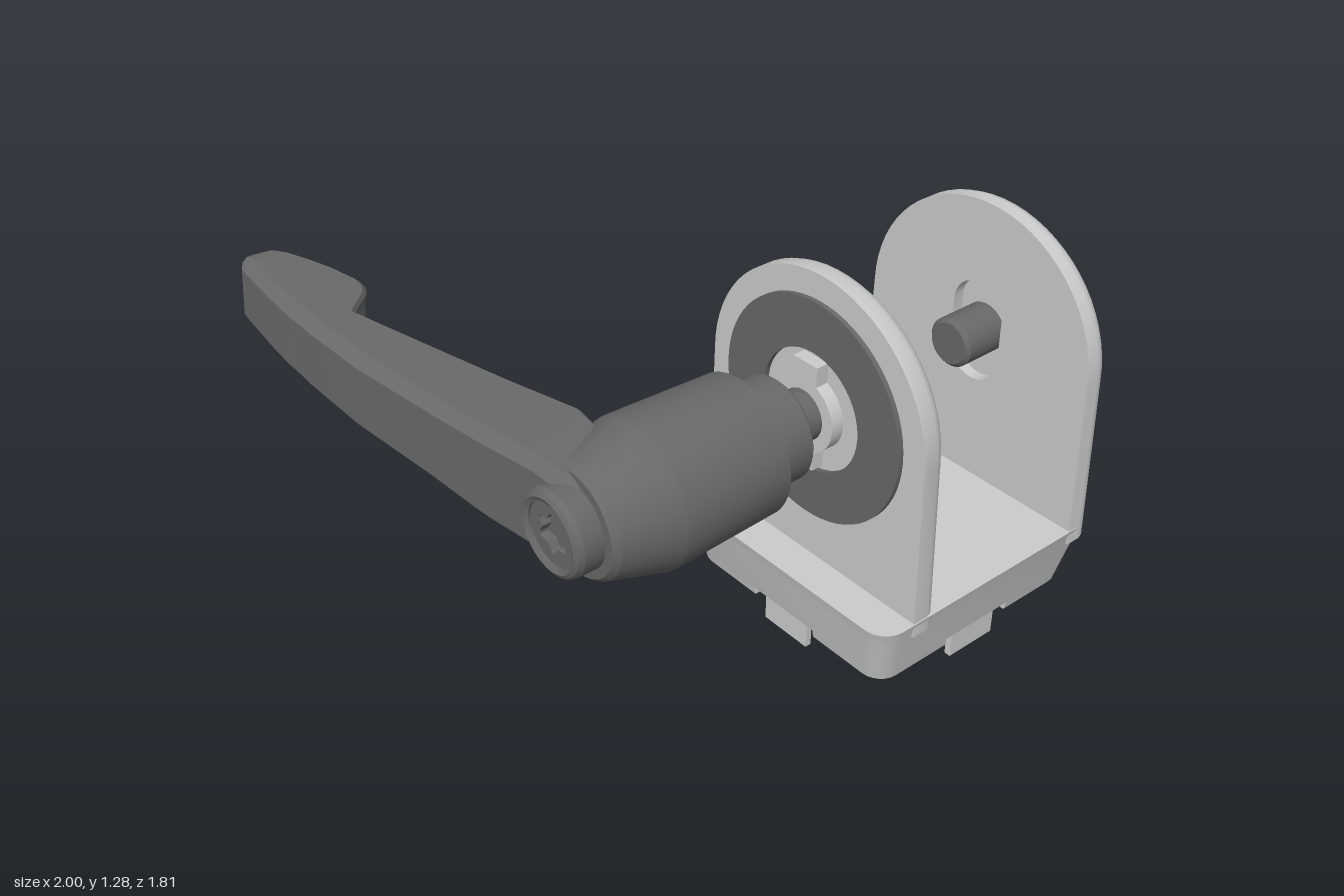
import * as THREE from 'three';
import { toCreasedNormals } from 'three/addons/utils/BufferGeometryUtils.js';

const AXIS_Y = 0.83, AXIS_Z = 0.435; // clamping axis, runs along x
const BASE_X = 0.4925, BASE_Z = 0.4325;
const light = new THREE.MeshStandardMaterial({ color: 0xcccccc });
const dark = new THREE.MeshStandardMaterial({ color: 0x686868 });
const v = (x, y, z) => new THREE.Vector3(x, y, z);

// Skin a stack of equal-length rings and close both ends
function loft(rings) {
  const pos = [], n = rings[0].length;
  const tri = (...pts) => pts.forEach(p => pos.push(p.x, p.y, p.z));
  for (let k = 0; k + 1 < rings.length; k++)
    for (let i = 0; i < n; i++) {
      const j = (i + 1) % n, a = rings[k], b = rings[k + 1];
      tri(a[i], a[j], b[j]);
      tri(a[i], b[j], b[i]);
    }
  [rings[0], rings[rings.length - 1]].forEach((r, end) => {
    const c = r.reduce((s, p) => s.add(p), v(0, 0, 0)).divideScalar(n);
    for (let i = 0; i < n; i++) {
      const j = (i + 1) % n;
      end ? tri(c, r[i], r[j]) : tri(c, r[j], r[i]);
    }
  });
  const g = new THREE.BufferGeometry();
  g.setAttribute('position', new THREE.Float32BufferAttribute(pos, 3));
  return g;
}

const circle = (r, seg = 48, lobes = 0) => Array.from({ length: seg }, (_, i) => {
  const a = i / seg * Math.PI * 2, q = r * (1 + (lobes ? 0.18 * Math.cos(lobes * a) : 0));
  return new THREE.Vector2(q * Math.cos(a), q * Math.sin(a));
});

// Extrude along x from x0 to x1; outline coordinates are (y, z)
function extrudeX(points, holes, x0, x1) {
  const s = new THREE.Shape(points);
  holes.forEach(h => s.holes.push(new THREE.Path(h)));
  const g = new THREE.ExtrudeGeometry(s, { depth: x1 - x0, bevelEnabled: false });
  return g.applyMatrix4(new THREE.Matrix4().makeBasis(v(0, 1, 0), v(0, 0, 1), v(1, 0, 0))).translate(x0, 0, 0);
}

// Turned part about the x axis, profile points are [radius, x]
const turnX = (profile, seg = 48) => new THREE.LatheGeometry(
  profile.map(p => new THREE.Vector2(...p)), seg).rotateZ(-Math.PI / 2);

// Cheek outline in (y, z): tapered sides with a round top
function cheekOutline(inset) {
  const pts = [new THREE.Vector2(0.25, AXIS_Z - 0.468 + inset)], R = 0.45 - inset;
  for (let i = 0; i <= 32; i++) {
    const a = -Math.PI / 2 + Math.PI * i / 32;
    pts.push(new THREE.Vector2(AXIS_Y + R * Math.cos(a), AXIS_Z + R * Math.sin(a)));
  }
  pts.push(new THREE.Vector2(0.25, AXIS_Z + 0.468 - inset));
  return pts;
}

// Cheek with its outer rim rounded on the +x side, slightly thicker at the foot
function cheekGeometry(x0, start) {
  const profile = [[start, 0], [0.05, 0], [0.07, 0.008], [0.085, 0.022], [0.095, 0.042], [0.1, 0.075]];
  return loft(profile.map(([d, inset]) => cheekOutline(inset).map(p =>
    v(x0 + d * (1 + 0.1 * (1.28 - p.x)), p.x, p.y))));
}

// Square base layer with rounded corners, optional side notches and a centre hole
function baseLayer(y0, y1, notched) {
  const h = 0.4725, r = 0.08, w = 0.15, d = 0.07, pts = [];
  for (let k = 0; k < 4; k++) {
    const side = [];
    if (notched) side.push([h, -w], [h - d, -w], [h - d, w], [h, w]);
    for (let i = 0; i <= 6; i++) {
      const a = i / 6 * Math.PI / 2;
      side.push([h - r + r * Math.cos(a), h - r + r * Math.sin(a)]);
    }
    side.forEach(p => pts.push(new THREE.Vector2(...p).rotateAround(new THREE.Vector2(), k * Math.PI / 2)));
  }
  const s = new THREE.Shape(pts);
  s.holes.push(new THREE.Path(circle(0.11)));
  const g = new THREE.ExtrudeGeometry(s, { depth: y1 - y0, bevelEnabled: false });
  g.applyMatrix4(new THREE.Matrix4().makeBasis(v(0, 0, 1), v(1, 0, 0), v(0, 1, 0))).translate(0, y0, 0);
  const p = g.attributes.position;
  for (let i = 0; i < p.count; i++) {
    const x = p.getX(i), y = p.getY(i), z = p.getZ(i);
    if (Math.hypot(x, z) < 0.2) continue;
    const k = y > 0.28 ? 1 : 0.9 + 0.085 * (y - 0.075) / 0.195;
    p.setXYZ(i, x * k, y, z * k);
  }
  return g.translate(BASE_X, 0, BASE_Z);
}

// Lever arm: C-shaped sections [z, xLeft, xRight, halfHeight, pocketDepth]
function armGeometry() {
  const stations = [
    [0.5, -0.74, -0.6, 0.13, 0], [0.32, -0.795, -0.56, 0.165, 0], [0.21, -0.83, -0.555, 0.162, 0.02],
    [0.14, -0.85, -0.583, 0.157, 0.1], [0, -0.883, -0.64, 0.147, 0.1], [-0.29, -0.955, -0.759, 0.137, 0.09],
    [-0.49, -0.985, -0.84, 0.13, 0.06], [-0.55, -0.99, -0.765, 0.128, 0.12], [-0.575, -0.993, -0.752, 0.127, 0.12],
    [-0.58, -0.994, -0.75, 0.127, 0], [-0.61, -0.997, -0.75, 0.126, 0], [-0.615, -0.997, -0.75, 0.126, 0.1],
    [-0.70, -1, -0.782, 0.124, 0.1], [-0.765, -1, -0.815, 0.122, 0.09], [-0.825, -1, -0.85, 0.12, 0.06],
    [-0.83, -1, -0.853, 0.12, 0], [-0.865, -0.998, -0.885, 0.117, 0], [-0.885, -0.985, -0.935, 0.105, 0]];
  return loft(stations.map(([z, l, r, h, d]) => {
    const c = Math.min(0.035, (r - l) * 0.3), e = c * 0.4, yc = AXIS_Y - 0.187 * (z - 0.43);
    return [[l + c, -h], [l, c - h], [l, h - c], [l + c, h], [r - e, h], [r, h - e], [r, h - 0.03],
      [r - d, h - 0.042], [r - d, 0.042 - h], [r, 0.03 - h], [r, e - h], [r - e, -h]]
      .map(([x, y]) => v(x, yc + y, z + 0.2 * y));
  }));
}

export function createModel() {
  const model = new THREE.Group();
  const add = (name, geo, mat, parent = model, crease = 0.5) => {
    const mesh = new THREE.Mesh(toCreasedNormals(geo, crease), mat);
    mesh.name = name;
    parent.add(mesh);
    return mesh;
  };
  const group = (name, onAxis) => {
    const g = new THREE.Group();
    g.name = name;
    if (onAxis) g.position.set(0, AXIS_Y, AXIS_Z);
    model.add(g);
    return g;
  };

  // Base with locating tabs
  const base = group('base');
  add('baseFoot', baseLayer(0.075, 0.105, true), light, base);
  add('baseBody', baseLayer(0.105, 0.27, false), light, base);
  add('baseRim', baseLayer(0.27, 0.3, false), light, base);
  for (let k = 0; k < 4; k++) {
    const tab = new THREE.BoxGeometry(0.022, 0.12, 0.19).translate(0.405, 0.06, 0)
      .rotateY(k * Math.PI / 2).translate(BASE_X, 0, BASE_Z);
    add('locatingTab', tab, light, base);
  }

  // Upright cheeks
  add('innerCheek', cheekGeometry(0.15, 0), light);
  const slot = circle(0.1).map(p => new THREE.Vector2(
    AXIS_Y + p.x + 0.075 * Math.sign(Math.round(p.x * 1e6)), AXIS_Z + p.y));
  add('outerCheek', cheekGeometry(0.855, 0.04), light);
  add('outerCheekSlotFace', extrudeX(cheekOutline(0), [slot], 0.855, 0.897), light);

  // Arched pad on the inner cheek
  const arch = [new THREE.Vector2(0.29, AXIS_Z - 0.17)];
  for (let i = 0; i <= 20; i++) {
    const a = -Math.PI / 2 + Math.PI * i / 20;
    arch.push(new THREE.Vector2(AXIS_Y + 0.17 * Math.cos(a), AXIS_Z + 0.17 * Math.sin(a)));
  }
  arch.push(new THREE.Vector2(0.29, AXIS_Z + 0.17));
  add('archPad', extrudeX(arch, [], 0.24, 0.266), light);

  // Fixed screw with domed cover on the outer cheek
  const screw = group('fixedScrew', true);
  add('coverRing', turnX([[0.266, 0.945], [0.266, 0.967], [0.235, 0.979], [0.19, 0.997], [0.175, 1],
    [0.172, 0.998], [0.172, 0.975], [0.14, 0.975]], 64), dark, screw, 0.35);
  add('socketHead', extrudeX(circle(0.157), [circle(0.06, 6)], 0.96, 0.992), dark, screw);
  add('socketFloor', turnX([[0, 0.95], [0.15, 0.95], [0.15, 0.966], [0, 0.966]]), dark, screw);
  add('fixedPin', turnX([[0, 0.73], [0.07, 0.73], [0.083, 0.743], [0.083, 0.95], [0, 0.95]]), dark, screw);

  // Friction washer, keyed nut and clamping pin
  const clamp = group('clampScrew', true);
  add('frictionWasher', extrudeX(circle(0.367, 64), [circle(0.2)], 0.134, 0.153), dark, clamp);
  add('keyedNut', turnX([[0, 0.105], [0.125, 0.105], [0.125, 0.155], [0, 0.155]]), light, clamp);
  add('nutKey', new THREE.BoxGeometry(0.048, 0.36, 0.1).translate(0.13, 0, 0), light, clamp);
  add('clampPin', turnX([[0, -0.02], [0.083, -0.02], [0.083, 0.327], [0.07, 0.34], [0, 0.34]]), dark, clamp);

  // Clamping lever
  const hub = group('leverHub', true);
  add('hubBody', turnX([[0, -0.73], [0.165, -0.73], [0.18, -0.71], [0.232, -0.53], [0.234, -0.515],
    [0.222, -0.145], [0.166, -0.145], [0.166, -0.008], [0.158, 0], [0, 0]], 64), dark, hub, 0.3);
  add('hubCap', turnX([[0.1, -0.79], [0.1, -0.812], [0.115, -0.82], [0.128, -0.812], [0.136, -0.795],
    [0.136, -0.7]]), dark, hub, 0.4);
  add('capSocket', extrudeX(circle(0.101), [circle(0.055, 48, 6)], -0.805, -0.77), dark, hub);
  add('capFloor', turnX([[0, -0.775], [0.1, -0.775], [0.1, -0.72], [0, -0.72]]), dark, hub);
  add('leverArm', armGeometry(), dark);

  return model;
}
